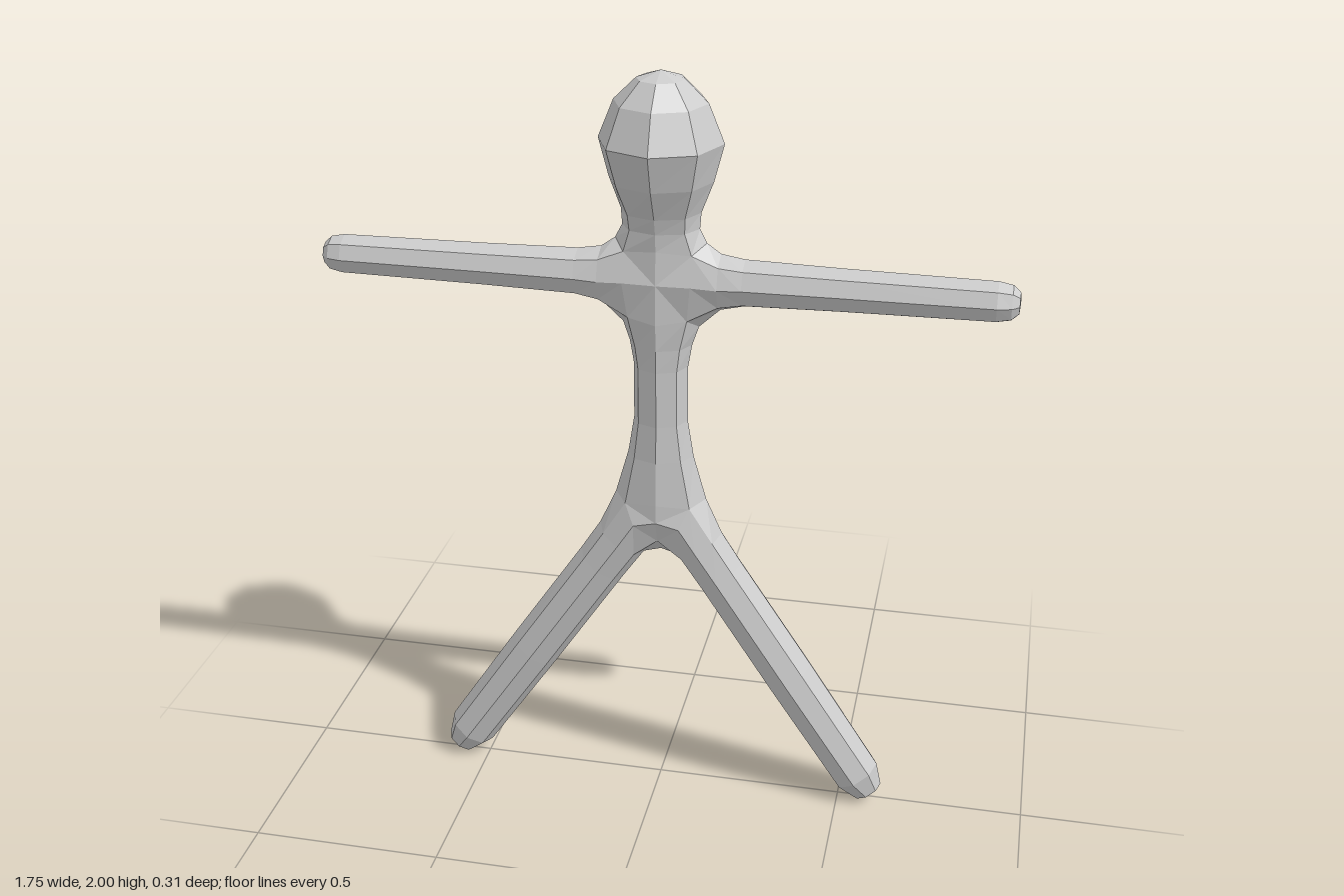
import * as THREE from 'three';

const V = (x, y, z) => new THREE.Vector3(x, y, z);
const flipZ = p => V(p.x, p.y, -p.z);
const flipX = p => V(-p.x, p.y, p.z);

// Eight-sided ring around `centre`, square to the in-plane direction (dx, dy)
function ring(cx, cy, dx, dy, rw, rz) {
  return Array.from({ length: 8 }, (_, j) => {
    const a = j * Math.PI / 4, w = rw * Math.cos(a);
    return V(cx + dy * w, cy - dx * w, rz * Math.sin(a));
  });
}

// Closed loop from its front half of five points
const loop = half => [...half, ...half.slice(1, 4).reverse().map(flipZ)];

// Skin over successive loops, closed by a fan to the tip if one is given
function loft(loops, tip) {
  const tris = [];
  for (let i = 0; i + 1 < loops.length; i++) {
    const A = loops[i], B = loops[i + 1];
    for (let j = 0; j < 8; j++) {
      const k = (j + 1) % 8;
      tris.push([A[k], A[j], B[j]], [A[k], B[j], B[k]]);
    }
  }
  const end = loops[loops.length - 1];
  if (tip) end.forEach((p, j) => tris.push([end[(j + 1) % 8], p, tip]));
  return tris;
}

// Front and back panels that join the limbs where they meet
function panels(outline, centre) {
  const tris = outline.map((p, j) => [p, outline[(j + 1) % outline.length], centre]);
  return [...tris, ...mirrored(tris, flipZ)];
}

const mirrored = (tris, flip) => tris.map(([a, b, c]) => [flip(a), flip(c), flip(b)]);

export function createModel() {
  const group = new THREE.Group();
  const material = new THREE.MeshStandardMaterial({ color: 0xcccccc, flatShading: true });
  const add = (name, tris) => {
    const geometry = new THREE.BufferGeometry().setFromPoints(tris.flat());
    geometry.computeVertexNormals();
    const mesh = new THREE.Mesh(geometry, material);
    mesh.name = name;
    group.add(mesh);
  };
  const addPair = (name, tris) => {
    add('left' + name, tris);
    add('right' + name, mirrored(tris, flipX));
  };

  // Shared points at the chest and hip junctions
  const neckSide = V(0.115, 1.58, 0), neckCorner = V(0.085, 1.56, 0.047), neckFront = V(0, 1.57, 0.066);
  const pitSide = V(0.097, 1.36, 0), pitCorner = V(0.075, 1.39, 0.05), pitFront = V(0, 1.38, 0.07);
  const armFront = V(0.085, 1.485, 0.068);
  const hipSide = V(0.12, 0.88, 0), hipCorner = V(0.085, 0.87, 0.05), hipFront = V(0, 0.88, 0.07);
  const crotch = V(0, 0.72, 0), crotchFront = V(0, 0.768, 0.05), legFront = V(0.06, 0.815, 0.069);
  const across = (side, corner, front) => loop([side, corner, front, flipX(corner), flipX(side)]);

  // Head and neck: [height, half width, half depth]
  const upright = ([y, rx, rz]) => ring(0, y, 0, 1, rx, rz);
  add('head', loft([
    across(neckSide, neckCorner, neckFront),
    ...[[1.615, 0.097, 0.07], [1.656, 0.1, 0.083], [1.735, 0.13, 0.122], [1.83, 0.155, 0.155],
      [1.925, 0.116, 0.116], [1.98, 0.06, 0.06]].map(upright),
  ], V(0, 2, 0)));

  // Torso
  add('torso', loft([
    across(hipSide, hipCorner, hipFront),
    ...[[1, 0.086, 0.066], [1.1, 0.07, 0.064], [1.25, 0.07, 0.064], [1.31, 0.08, 0.066]].map(upright),
    across(pitSide, pitCorner, pitFront),
  ]));

  // Chest and hip panels
  add('chest', panels([neckFront, flipX(neckCorner), flipX(armFront), flipX(pitCorner),
    pitFront, pitCorner, armFront, neckCorner], V(0, 1.485, 0.071)));
  add('hips', panels([hipFront, flipX(hipCorner), flipX(legFront), crotchFront, legFront, hipCorner],
    V(0, 0.83, 0.071)));

  // Arms: [distance out, centre height, half height, half depth]
  addPair('Arm', loft([
    loop([pitSide, pitCorner, armFront, neckCorner, neckSide]),
    ...[[0.15, 1.482, 0.073, 0.066], [0.21, 1.484, 0.061, 0.063], [0.45, 1.484, 0.056, 0.058],
      [0.82, 1.484, 0.052, 0.054], [0.855, 1.484, 0.045, 0.045], [0.873, 1.484, 0.028, 0.028]]
      .map(([x, y, ry, rz]) => ring(x, y, 1, 0, ry, rz)),
  ], V(0.875, 1.484, 0)));

  // Legs: [distance along the leg, half width, half depth]
  const along = t => [0.105 + 0.553 * t, 0.745 - 0.833 * t];
  addPair('Leg', loft([
    loop([crotch, crotchFront, legFront, hipCorner, hipSide]),
    ...[[0, 0.07, 0.067], [0.1, 0.068, 0.066], [0.45, 0.069, 0.068], [0.8, 0.066, 0.065], [0.862, 0.042, 0.04]]
      .map(([t, rw, rz]) => ring(...along(t), 0.553, -0.833, rw, rz)),
  ], V(...along(0.866), 0)));

  return group;
}
